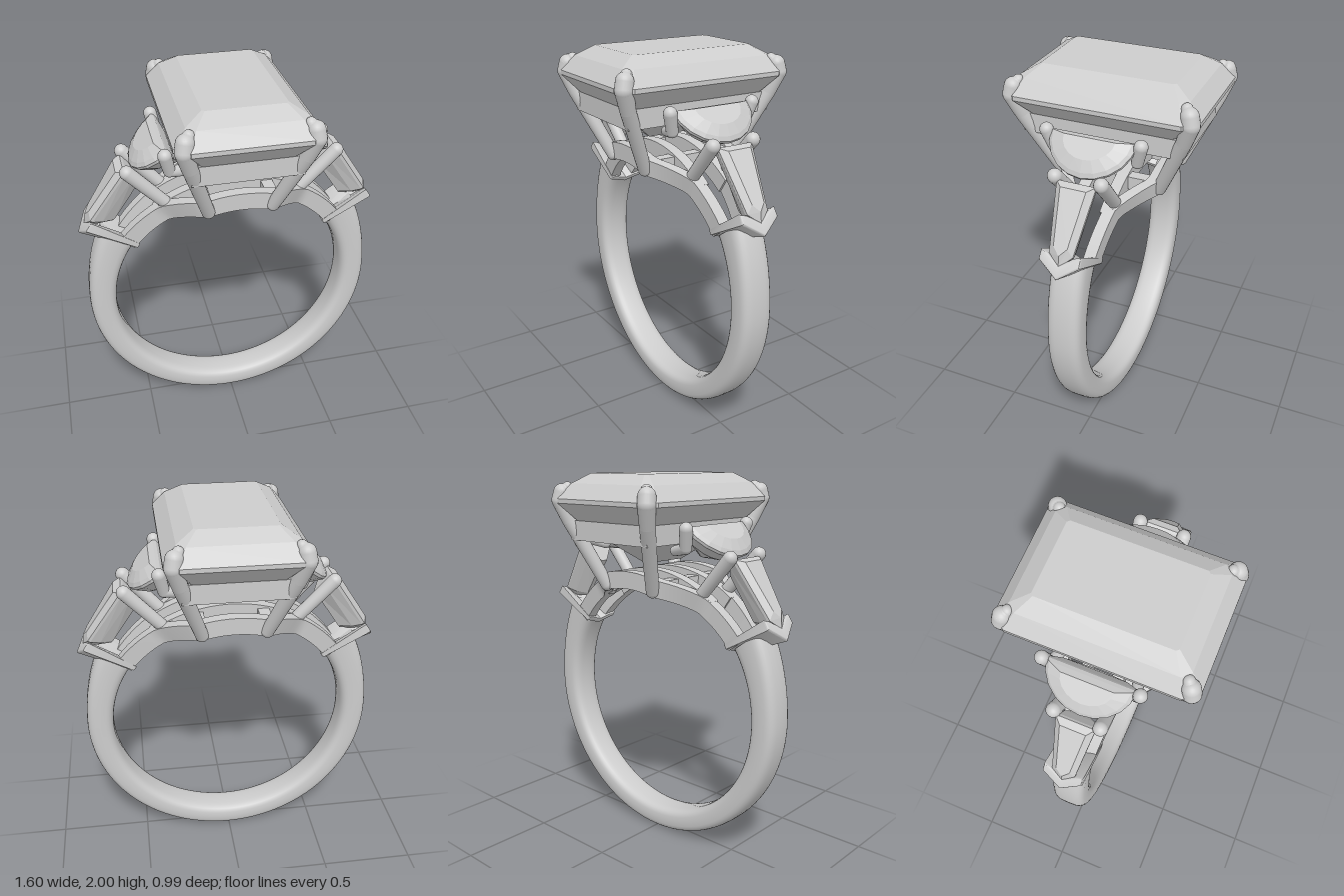
import * as THREE from 'three';
import { toCreasedNormals } from 'three/addons/utils/BufferGeometryUtils.js';

const grey = new THREE.MeshStandardMaterial({ color: 0xcccccc });
grey.name = 'silver grey';

const CY = 0.775;    // centre height of the finger hole
const INNER = 0.645; // radius of the finger hole
const V = (x, y, z) => new THREE.Vector3(x, y, z);

function add(parent, name, geometry) {
  const mesh = new THREE.Mesh(geometry, grey);
  mesh.name = name;
  parent.add(mesh);
  return mesh;
}

// Closed solid through rings of equal point count, capped at both ends
function loft(rings, crease) {
  const n = rings[0].length, pts = rings.flat(), tris = [];
  for (let r = 0; r < rings.length - 1; r++) {
    for (let i = 0; i < n; i++) {
      const a = r * n + i, b = r * n + (i + 1) % n;
      tris.push([a, b, a + n], [b, b + n, a + n]);
    }
  }
  const last = (rings.length - 1) * n;
  for (let i = 1; i < n - 1; i++) {
    tris.push([0, i + 1, i], [last, last + i, last + i + 1]);
  }
  // turn all faces outward
  const volume = tris.reduce((s, [a, b, c]) => s + pts[a].dot(V(0, 0, 0).crossVectors(pts[b], pts[c])), 0);
  if (volume < 0) tris.forEach((t) => t.reverse());
  const g = new THREE.BufferGeometry().setFromPoints(pts);
  g.setIndex(tris.flat());
  return toCreasedNormals(g, crease);
}

// Rounded rod through points [x, y, z, radius]
function rod(parent, name, points) {
  const group = new THREE.Group();
  group.name = name;
  points.forEach(([x, y, z, r], i) => {
    add(group, name + 'Joint', new THREE.SphereGeometry(r, 20, 14)).position.set(x, y, z);
    if (!i) return;
    const [px, py, pz, pr] = points[i - 1];
    const a = V(px, py, pz), d = V(x, y, z).sub(a);
    const m = add(group, name + 'Bar', new THREE.CylinderGeometry(r, pr, d.length(), 20, 1, true));
    m.position.copy(a).addScaledVector(d, 0.5);
    m.quaternion.setFromUnitVectors(V(0, 1, 0), d.normalize());
  });
  parent.add(group);
}

// Rectangle with cut corners
function octagon(hx, hz, cut, y) {
  return [[hx, hz - cut], [hx - cut, hz], [cut - hx, hz], [-hx, hz - cut],
    [-hx, cut - hz], [cut - hx, -hz], [hx - cut, -hz], [hx, cut - hz]].map(([x, z]) => V(x, y, z));
}

// Half-moon outline, flat side on x = inset
function halfMoon(inset, depth, hz, y) {
  return Array.from({ length: 11 }, (_, i) => {
    const a = -Math.PI / 2 + (i / 10) * Math.PI;
    return V(inset + depth * Math.cos(a), y, hz * Math.sin(a));
  });
}

// Tapered five-sided outline with a pointed end
function taper(x0, x1, tip, w0, w1, y) {
  return [[x0, w0], [x1, w1], [tip, 0], [x1, -w1], [x0, -w0]].map(([x, z]) => V(x, y, z));
}

// Shank: rounded section swept round the lower part, thicker toward the shoulders
function bandGeometry() {
  const rings = [], from = 145 * Math.PI / 180, to = 395 * Math.PI / 180;
  const soft = (v) => Math.sign(v) * Math.abs(v) ** 0.6;
  for (let k = 0; k <= 90; k++) {
    const a = from + (to - from) * k / 90, s = Math.sin(a);
    const outer = s < 0 ? 0.775 + 0.015 * (1 + s) : 0.79 + 0.045 * (s / 0.55) ** 2;
    const mid = (INNER + outer) / 2, half = (outer - INNER) / 2;
    rings.push(Array.from({ length: 28 }, (_, i) => {
      const b = i / 28 * Math.PI * 2, r = mid + half * soft(Math.cos(b));
      return V(r * Math.cos(a), CY + r * s, 0.09 * soft(Math.sin(b)));
    }));
  }
  return loft(rings, 1);
}

// Arched rail over the finger, offset in z by a rule of x
function archGeometry(offset, span) {
  const rings = [];
  for (let k = 0; k <= 40; k++) {
    const a = Math.PI / 2 + span * (k / 20 - 1);
    const z = offset(Math.abs(INNER * Math.cos(a)));
    rings.push([[INNER, -0.03], [0.735, -0.03], [0.735, 0.03], [INNER, 0.03]]
      .map(([r, dz]) => V(r * Math.cos(a), CY + r * Math.sin(a), z + dz)));
  }
  return loft(rings, 0.6);
}

// V-shaped end prong, narrowing toward the finger
function collarGeometry() {
  const shape = new THREE.Shape([[0.335, 0.095], [0.37, 0.095], [0.44, 0], [0.37, -0.095],
    [0.335, -0.095], [0.345, -0.07], [0.395, 0], [0.345, 0.07]].map(([x, y]) => new THREE.Vector2(x, y)));
  const g = new THREE.ExtrudeGeometry(shape, {
    depth: 0.27, bevelThickness: 0.01, bevelSize: 0.01, bevelSegments: 3, steps: 1,
  });
  g.rotateX(Math.PI / 2);
  const p = g.attributes.position;
  for (let i = 0; i < p.count; i++) {
    const k = 1 - 0.5 * Math.min(1, Math.max(0, -p.getY(i) / 0.27));
    p.setX(i, 0.325 + (p.getX(i) - 0.325) * k);
  }
  return toCreasedNormals(g, 0.6);
}

function shoulder() {
  const side = new THREE.Group();

  // half-moon stone, tilted outward
  const moon = add(side, 'halfMoonStone', loft([
    halfMoon(0.03, 0.11, 0.13, 0.04), halfMoon(0.01, 0.185, 0.2, 0.015), halfMoon(0, 0.215, 0.22, 0),
    halfMoon(0, 0.215, 0.22, -0.015), halfMoon(0.01, 0.16, 0.16, -0.08), halfMoon(0.04, 0.02, 0.03, -0.17),
  ], 0.05));
  moon.position.set(0.35, 1.75, 0);
  moon.rotation.z = -40 * Math.PI / 180;

  // tapered stone and its V prong share one tilted frame
  const tilted = new THREE.Group();
  tilted.name = 'taperedSetting';
  tilted.position.set(0.545, 1.6, 0);
  tilted.rotation.z = -56 * Math.PI / 180;
  add(tilted, 'taperedStone', loft([
    taper(0.03, 0.3, 0.34, 0.065, 0.035, 0.03), taper(0, 0.335, 0.39, 0.1, 0.06, 0.005),
    taper(0, 0.335, 0.39, 0.1, 0.06, -0.01), taper(0.015, 0.32, 0.36, 0.075, 0.045, -0.06),
    taper(0.04, 0.29, 0.31, 0.02, 0.012, -0.12),
  ], 0.05));
  add(tilted, 'endProng', collarGeometry());
  side.add(tilted);

  // small prongs
  for (const s of [-1, 1]) {
    rod(side, 'taperedStoneProng', [[0.31, 1.365, s * 0.1, 0.032], [0.535, 1.61, s * 0.117, 0.036]]);
    rod(side, 'halfMoonProng', [[0.25, 1.63, s * 0.19, 0.026], [0.34, 1.65, s * 0.215, 0.03],
      [0.362, 1.745, s * 0.24, 0.034]]);
  }
  return side;
}

export function createModel() {
  const ring = new THREE.Group();
  ring.name = 'ring';
  add(ring, 'band', bandGeometry());

  // step-cut centre stone
  add(ring, 'centreStone', loft([
    octagon(0.2, 0.34, 0.012, 2), octagon(0.285, 0.425, 0.04, 1.95), octagon(0.35, 0.49, 0.07, 1.875),
    octagon(0.35, 0.49, 0.07, 1.853), octagon(0.28, 0.42, 0.06, 1.77), octagon(0.16, 0.3, 0.04, 1.66),
    octagon(0.006, 0.14, 0.002, 1.54),
  ], 0.05));

  // upper basket rail and lower gallery
  for (const s of [-1, 1]) {
    add(ring, 'basketRail', new THREE.BoxGeometry(0.54, 0.1, 0.06)).position.set(0, 1.715, s * 0.385);
    add(ring, 'basketRail', new THREE.BoxGeometry(0.06, 0.1, 0.77)).position.set(s * 0.245, 1.715, 0);
    add(ring, 'galleryCrossbar', new THREE.BoxGeometry(0.06, 0.07, 0.5)).position.set(s * 0.17, 1.44, 0);
    add(ring, 'galleryArch', archGeometry((x) => {
      if (x < 0.17) return s * 0.245;
      if (x < 0.34) return s * (0.245 - (x - 0.17) / 0.17 * 0.15);
      return s * (0.095 - (x - 0.34) * 0.15);
    }, 0.95));
    add(ring, 'innerArch', archGeometry(() => s * 0.08, 0.6));
  }

  // four claw prongs
  for (const x of [-1, 1]) {
    for (const z of [-1, 1]) {
      rod(ring, 'clawProng', [[x * 0.165, 1.425, z * 0.265, 0.034], [x * 0.275, 1.76, z * 0.415, 0.039],
        [x * 0.304, 1.865, z * 0.45, 0.045], [x * 0.298, 1.905, z * 0.442, 0.044], [x * 0.278, 1.93, z * 0.422, 0.028]]);
    }
  }

  // matching shoulders
  const left = shoulder();
  left.name = 'leftShoulder';
  const right = shoulder();
  right.name = 'rightShoulder';
  right.rotation.y = Math.PI;
  ring.add(left, right);
  return ring;
}
